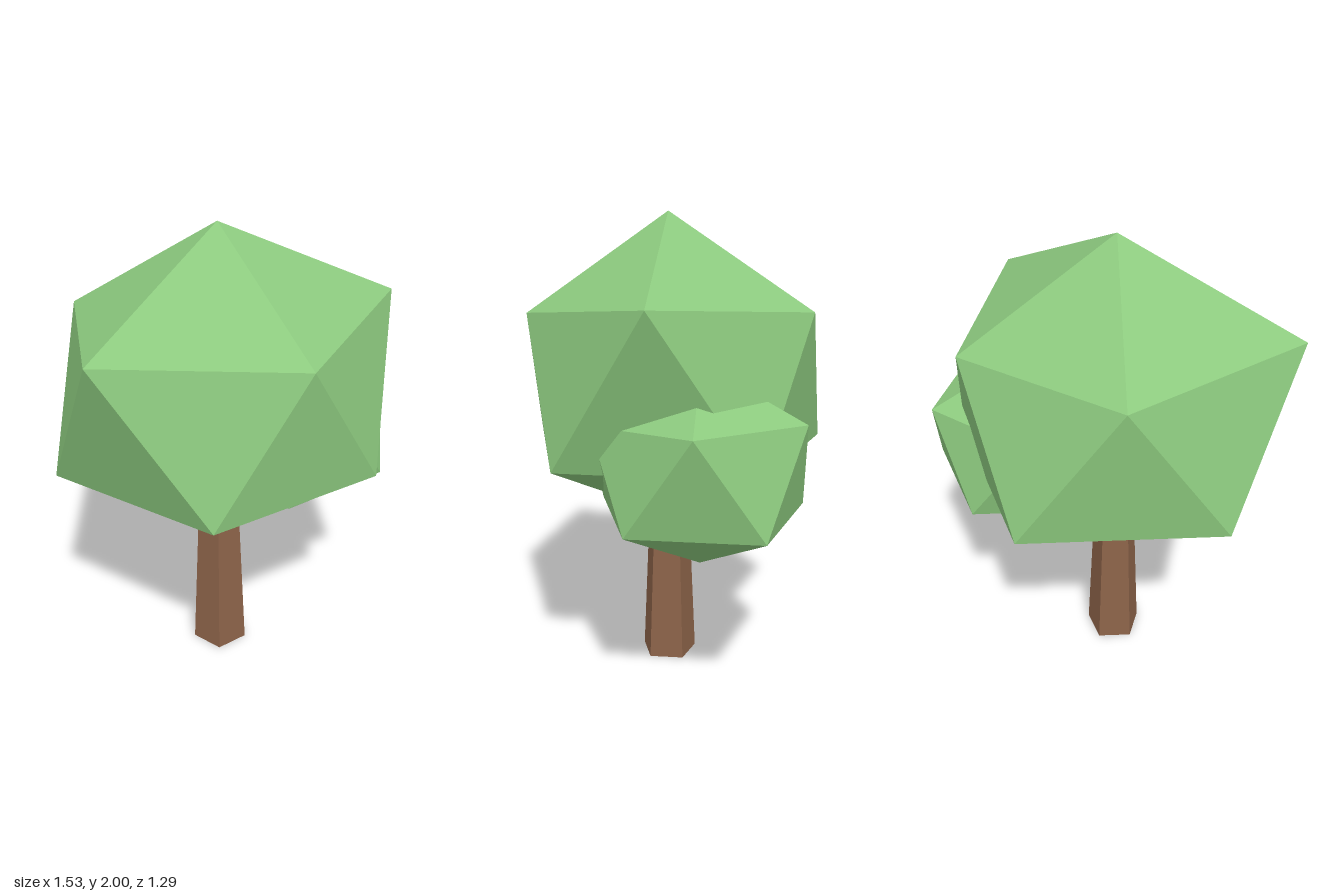
import * as THREE from 'three';

const foliage = new THREE.MeshStandardMaterial({ color: 0x8cc97e });
foliage.name = 'leaf green';
const bark = new THREE.MeshStandardMaterial({ color: 0x8c6349 });
bark.name = 'bark brown';

// Faceted 20-sided leaf clump: two staggered rings of five points between two poles
function leafClump(name, top, upper, lower, bottom) {
  const pos = [];
  const face = (...corners) => corners.forEach((c) => pos.push(...c));
  for (let i = 0; i < 5; i++) {
    const j = (i + 1) % 5;
    face(top, upper[j], upper[i]);
    face(upper[j], lower[i], upper[i]);
    face(lower[j], lower[i], upper[j]);
    face(lower[j], bottom, lower[i]);
  }
  const geo = new THREE.BufferGeometry();
  geo.setAttribute('position', new THREE.Float32BufferAttribute(pos, 3));
  geo.computeVertexNormals(); // unshared corners give flat facets
  const mesh = new THREE.Mesh(geo, foliage);
  mesh.name = name;
  return mesh;
}

export function createModel() {
  const tree = new THREE.Group();
  tree.name = 'tree';

  // Five-sided tapering trunk, its top buried in the leaves
  const trunkGeo = new THREE.CylinderGeometry(0.09, 0.127, 0.8, 5, 1, false, -Math.PI / 2).toNonIndexed();
  trunkGeo.computeVertexNormals();
  const trunk = new THREE.Mesh(trunkGeo, bark);
  trunk.name = 'trunk';
  trunk.position.set(-0.073, 0.4, 0.02);
  tree.add(trunk);

  // Large crown
  tree.add(leafClump('mainCrown',
    [-0.07, 2, 0.02],
    [[0.69, 1.66, 0.02], [0.12, 1.59, 0.59], [-0.67, 1.65, 0.45], [-0.59, 1.61, -0.36], [0.13, 1.605, -0.59]],
    [[0.485, 1.01, 0.42], [-0.275, 1.02, 0.645], [-0.77, 1.005, 0.02], [-0.29, 1.005, -0.65], [0.49, 1.0, -0.39]],
    [-0.07, 0.67, 0.02]));

  // Small clump growing from the back left side
  tree.add(leafClump('sideCrown',
    [0.3, 1.42, -0.15],
    [[0.765, 1.225, -0.155], [0.44, 1.19, 0.27], [-0.06, 1.2, 0.11], [-0.06, 1.2, -0.41], [0.44, 1.215, -0.565]],
    [[0.67, 0.82, 0.11], [0.165, 0.82, 0.275], [-0.13, 0.82, -0.15], [0.17, 0.82, -0.57], [0.68, 0.82, -0.42]],
    [0.305, 0.59, -0.15]));

  return tree;
}
